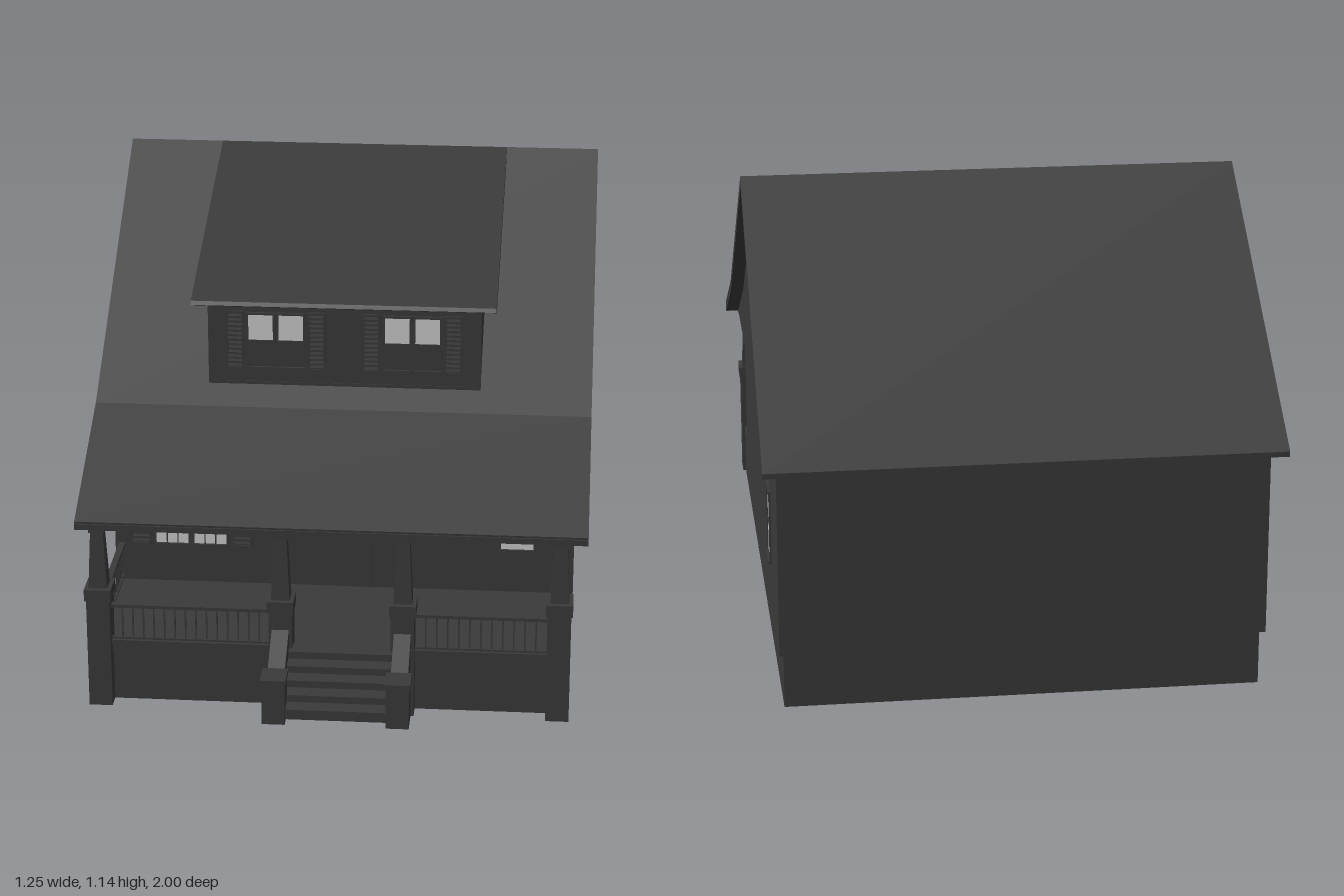
import * as THREE from 'three';

const dark = new THREE.MeshStandardMaterial({ color: 0x3a3a3a, side: THREE.DoubleSide });
const darkOneSided = new THREE.MeshStandardMaterial({ color: 0x3a3a3a });
const pale = new THREE.MeshStandardMaterial({ color: 0xcccccc });

// box given by its min and max corners
function box(parent, name, x0, x1, y0, y1, z0, z1, mat = dark) {
  const m = new THREE.Mesh(new THREE.BoxGeometry(x1 - x0, y1 - y0, z1 - z0), mat);
  m.position.set((x0 + x1) / 2, (y0 + y1) / 2, (z0 + z1) / 2);
  m.name = name;
  parent.add(m);
  return m;
}

// side profile of [z, y] points stretched from x0 to x1
function profile(parent, name, pts, x0, x1) {
  const shape = new THREE.Shape(pts.map(([z, y]) => new THREE.Vector2(z, y)));
  const geo = new THREE.ExtrudeGeometry(shape, { depth: x1 - x0, bevelEnabled: false });
  geo.rotateY(-Math.PI / 2).translate(x1, 0, 0);
  const m = new THREE.Mesh(geo, dark);
  m.name = name;
  parent.add(m);
}

// corners of a rectangle in plan
function rect(x0, x1, z0, z1) {
  return [[x0, z0], [x1, z0], [x1, z1], [x0, z1]].map(([x, z]) => new THREE.Vector2(x, z));
}

function group(parent, name, x = 0, y = 0, z = 0, turn = 0) {
  const g = new THREE.Group();
  g.name = name;
  g.position.set(x, y, z);
  g.rotation.y = turn;
  parent.add(g);
  return g;
}

// framed window facing +z, centred on its group; cols x rows of panes
function windowUnit(parent, x, y, z, w, h, { cols = 1, rows = 2, turn = 0, darkLower = false } = {}) {
  const g = group(parent, 'window', x, y, z, turn);
  const f = 0.006, a = w / 2, b = h / 2, bar = 0.003;
  box(g, 'upperPane', -a, a, 0, b, -0.004, 0.001, pale);
  box(g, 'lowerPane', -a, a, -b, 0, -0.004, 0.001, darkLower ? dark : pale);
  for (const s of [-1, 1]) {
    box(g, 'frameSide', s * (a + f / 2) - f / 2, s * (a + f / 2) + f / 2, -b, b, -0.004, 0.004);
    box(g, 'frameEnd', -a - f, a + f, s * (b + f / 2) - f / 2, s * (b + f / 2) + f / 2, -0.004, s < 0 ? 0.007 : 0.005);
  }
  for (let i = 1; i < cols; i++) {
    const u = -a + w * i / cols;
    box(g, 'muntin', u - bar / 2, u + bar / 2, -b, b, 0, 0.002);
  }
  for (let i = 1; i < rows; i++) {
    const v = -b + h * i / rows;
    box(g, 'sashBar', -a, a, v - bar / 2, v + bar / 2, 0, 0.003);
  }
}

// framed panel with slats, for shutters and gable vents
function louver(parent, name, x, y, z, w, h, n, turn = 0) {
  const g = group(parent, name, x, y, z, turn);
  const a = w / 2, b = h / 2, f = 0.005;
  box(g, 'backing', -a, a, -b, b, -0.003, 0.001);
  for (const s of [-1, 1]) {
    box(g, 'stile', s * (a - f / 2) - f / 2, s * (a - f / 2) + f / 2, -b, b, 0, 0.005);
    box(g, 'rail', -a, a, s * (b - f / 2) - f / 2, s * (b - f / 2) + f / 2, 0, 0.005);
  }
  for (let i = 0; i < n; i++) {
    const v = -b + f + (h - 2 * f) * (i + 0.5) / n;
    box(g, 'slat', -a + f, a - f, v - 0.003, v + 0.003, 0, 0.002).rotation.x = -0.25;
  }
}

// railing along local x, from 0 to length
function railing(parent, x, z, length, turn = 0) {
  const g = group(parent, 'railing', x, 0, z, turn);
  box(g, 'topRail', 0, length, 0.258, 0.266, -0.008, 0.008);
  box(g, 'bottomRail', 0, length, 0.172, 0.177, -0.005, 0.005);
  const n = Math.round(length / 0.027);
  for (let i = 1; i < n; i++) {
    const u = length * i / n;
    box(g, 'baluster', u - 0.0018, u + 0.0018, 0.176, 0.259, -0.0018, 0.0018);
  }
}

// masonry pedestal with cap and tapered post
function porchColumn(parent, x, capY) {
  const g = group(parent, 'porchColumn', x, 0, 0.783);
  box(g, 'pedestal', -0.029, 0.029, 0, capY, -0.031, 0.031);
  box(g, 'pedestalCap', -0.033, 0.033, capY - 0.012, capY + 0.018, -0.036, 0.036);
  const y0 = capY + 0.018, h = 0.478 - y0;
  const geo = new THREE.CylinderGeometry(0.015 * Math.SQRT2, 0.023 * Math.SQRT2, h, 4).rotateY(Math.PI / 4).toNonIndexed();
  geo.computeVertexNormals();
  const post = new THREE.Mesh(geo, dark);
  post.position.y = y0 + h / 2;
  post.name = 'taperedPost';
  g.add(post);
  box(g, 'capital', -0.02, 0.02, 0.463, 0.48, -0.02, 0.02);
}

export function createModel() {
  const house = new THREE.Group();
  house.name = 'house';

  // hollow foundation, set in a little under the walls
  const base = group(house, 'foundation');
  for (const s of [-1, 1]) box(base, 'sideWall', s * 0.566 - 0.012, s * 0.566 + 0.012, 0, 0.135, -0.94, 0.77);
  box(base, 'backWall', -0.578, 0.578, 0, 0.135, -0.94, -0.915);
  box(base, 'crossWall', -0.56, 0.56, 0, 0.135, 0.395, 0.42);
  const skirt = new THREE.Mesh(new THREE.PlaneGeometry(1.13, 0.135), darkOneSided);
  skirt.name = 'porchSkirt';
  skirt.position.set(-0.008, 0.0675, 0.772);
  base.add(skirt);

  // ground floor with two openings to the cellar
  const plan = new THREE.Shape(rect(-0.575, 0.575, -0.94, 0.415));
  plan.holes.push(new THREE.Path(rect(0.24, 0.54, -0.58, 0.02)), new THREE.Path(rect(-0.55, -0.31, -0.59, -0.11)));
  const floorGeo = new THREE.ExtrudeGeometry(plan, { depth: 0.025, bevelEnabled: false });
  const floor = new THREE.Mesh(floorGeo.rotateX(Math.PI / 2).translate(0, 0.16, 0), dark);
  floor.name = 'groundFloor';
  house.add(floor);

  // hollow walls; the gables and the upper floor reach over the porch
  const walls = group(house, 'walls');
  for (const x of [-0.592, 0.57]) {
    profile(walls, 'gableWall', [[-0.948, 0.135], [-0.948, 0.63], [-0.27, 1.125], [0.45, 0.645], [0.795, 0.485],
      [0.795, 0.48], [0.42, 0.48], [0.42, 0.135]], x, x + 0.018);
  }
  box(walls, 'backWall', -0.592, 0.588, 0.135, 0.628, -0.948, -0.93);
  box(walls, 'frontWall', -0.592, 0.588, 0.135, 0.485, 0.402, 0.42);
  box(walls, 'upperFloor', -0.58, 0.58, 0.48, 0.495, -0.94, 0.77);

  // main roof, with a flatter slope over the porch
  profile(house, 'mainRoof', [[-0.985, 0.6], [-0.998, 0.615], [-0.27, 1.143], [0.45, 0.664], [0.815, 0.497],
    [0.812, 0.477], [0.79, 0.477], [0.45, 0.637], [-0.27, 1.115]], -0.626, 0.622);
  box(house, 'frontGutter', -0.626, 0.622, 0.477, 0.492, 0.806, 0.818);
  box(house, 'backGutter', -0.626, 0.622, 0.602, 0.615, -0.998, -0.983);

  // dormer
  const dormer = group(house, 'dormer');
  profile(dormer, 'dormerWalls', [[-0.27, 1.125], [0.39, 0.932], [0.39, 0.69]], -0.345, 0.342);
  profile(dormer, 'dormerRoof', [[-0.27, 1.143], [0.43, 0.937], [0.436, 0.928], [0.405, 0.916], [-0.27, 1.12]], -0.382, 0.38);
  box(dormer, 'dormerSill', -0.345, 0.342, 0.704, 0.712, 0.388, 0.392);
  for (const s of [-1, 1]) box(dormer, 'cornerBoard', s * 0.338 - 0.005, s * 0.338 + 0.005, 0.71, 0.92, 0.385, 0.392);
  for (const x of [-0.174, 0.17]) {
    for (const s of [-1, 1]) {
      windowUnit(dormer, x + s * 0.038, 0.822, 0.391, 0.062, 0.138, { darkLower: true });
      louver(dormer, 'shutter', x + s * 0.103, 0.822, 0.391, 0.044, 0.155, 12);
    }
  }

  // front wall openings
  for (const s of [-1, 1]) {
    windowUnit(house, -0.394 + s * 0.049, 0.36, 0.421, 0.083, 0.178, { cols: 3, rows: 4 });
    louver(house, 'shutter', -0.394 + s * 0.131, 0.36, 0.421, 0.052, 0.19, 14);
  }
  windowUnit(house, 0.443, 0.365, 0.421, 0.083, 0.165);
  box(house, 'frontDoor', -0.06, 0.07, 0.165, 0.46, 0.41, 0.425);
  for (const x of [-0.112, 0.123]) windowUnit(house, x, 0.385, 0.421, 0.037, 0.14, { rows: 1 });

  // side windows and gable vents
  const q = Math.PI / 2;
  windowUnit(house, 0.589, 0.367, -0.653, 0.084, 0.175, { turn: q });
  windowUnit(house, -0.593, 0.39, 0.025, 0.075, 0.175, { turn: -q });
  windowUnit(house, -0.593, 0.445, -0.27, 0.068, 0.038, { rows: 1, turn: -q });
  louver(house, 'gableVent', 0.589, 1.0, -0.267, 0.056, 0.09, 7, q);
  louver(house, 'gableVent', -0.593, 1.0, -0.267, 0.056, 0.09, 7, -q);

  // porch
  const porch = group(house, 'porch');
  box(porch, 'deck', -0.576, 0.57, 0.135, 0.163, 0.41, 0.785);
  box(porch, 'deckEdge', -0.576, 0.56, 0.157, 0.17, 0.775, 0.792);
  box(porch, 'beam', -0.592, 0.588, 0.474, 0.492, 0.765, 0.8);
  const outer = [-0.575, 0.557], inner = [-0.125, 0.175];
  for (const x of outer) porchColumn(porch, x, 0.298);
  for (const x of inner) porchColumn(porch, x, 0.282);
  railing(porch, outer[0] + 0.029, 0.783, 0.392);
  railing(porch, inner[1] + 0.029, 0.783, 0.324);
  for (const x of outer) railing(porch, x, 0.755, 0.335, q);

  // front steps between sloping cheek walls
  const steps = group(house, 'frontSteps');
  for (let i = 0; i < 5; i++) {
    const y = 0.075 + i * 0.02, z = 0.985 - i * 0.038;
    box(steps, 'riser', -0.107, 0.157, y - 0.008, y + 0.014, z - 0.045, z - 0.004);
    box(steps, 'tread', -0.107, 0.157, y + 0.014, y + 0.02, z - 0.045, z);
  }
  for (const x of inner) {
    profile(steps, 'cheekWall', [[0.8, 0.06], [0.94, 0.06], [0.94, 0.15], [0.8, 0.232]], x - 0.021, x + 0.021);
    box(steps, 'endPost', x - 0.028, x + 0.028, 0.06, 0.168, 0.934, 0.997);
    box(steps, 'endPostCap', x - 0.031, x + 0.031, 0.166, 0.178, 0.931, 1.0);
  }
  return house;
}
